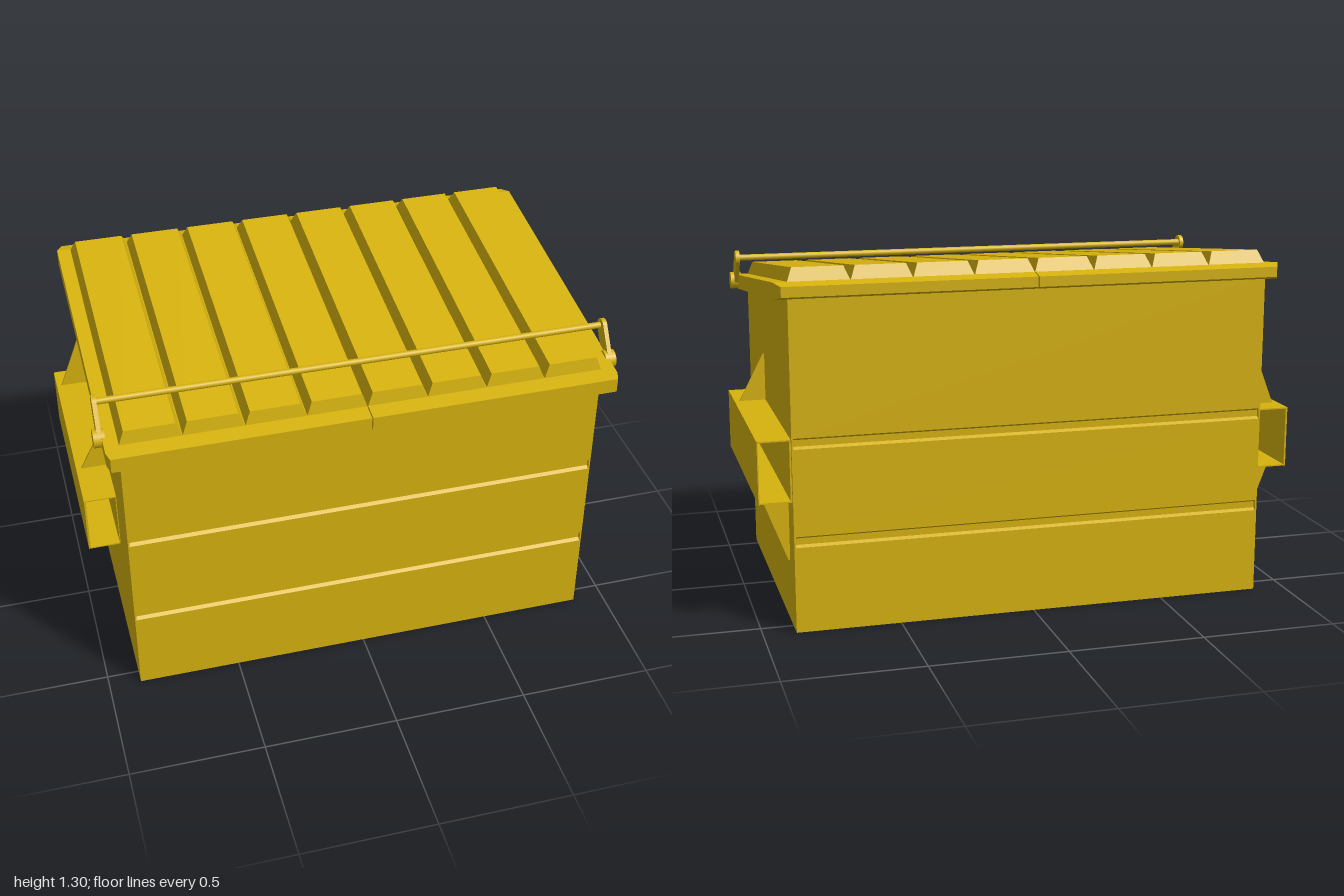
import * as THREE from 'three';

const material = new THREE.MeshStandardMaterial({ color: 0xd6b20e, flatShading: true });
const smooth = new THREE.MeshStandardMaterial({ color: 0xd6b20e });

function add(group, name, geometry, mat = material) {
  const mesh = new THREE.Mesh(geometry, mat);
  mesh.name = name;
  group.add(mesh);
  return mesh;
}

// Closed solid through loops of points, each counter-clockwise about the loft direction
function loft(loops) {
  const pos = [];
  const quad = (a, b, c, d) => pos.push(...a, ...b, ...c, ...a, ...c, ...d);
  for (let k = 0; k < loops.length - 1; k++) {
    const a = loops[k], b = loops[k + 1];
    for (let i = 0; i < 4; i++) {
      const j = (i + 1) % 4;
      quad(a[i], a[j], b[j], b[i]);
    }
  }
  quad(...[...loops[0]].reverse());
  quad(...loops[loops.length - 1]);
  const g = new THREE.BufferGeometry();
  g.setAttribute('position', new THREE.Float32BufferAttribute(pos, 3));
  g.computeVertexNormals();
  return g;
}

// Side profile given as (z, y), extruded to a width in x and centred on x
function sideExtrude(shape, width, x = 0) {
  const g = new THREE.ExtrudeGeometry(shape, { depth: width, bevelEnabled: false, curveSegments: 12 });
  return g.translate(0, 0, -width / 2).rotateY(-Math.PI / 2).translate(x, 0, 0);
}

const shapeOf = (pts) => new THREE.Shape(pts.map(([a, b]) => new THREE.Vector2(a, b)));

const FRONT = 0.555, BACK = -0.575;
const lidTop = (z) => 1.12 + (0.62 - z) * 0.118;

function buildBody(group) {
  // Grooves pressed into the front and back walls
  const groove = (z, inward, y) => [
    [z, y - 0.02], [z + inward, y - 0.012], [z + inward, y + 0.012], [z, y + 0.02],
  ];
  const front = [0.335, 0.692].flatMap((y) => groove(FRONT, -0.013, y));
  const back = [0.335, 0.692].flatMap((y) => groove(BACK, 0.013, y)).reverse();
  const profile = [[BACK, 0], [FRONT, 0], ...front, [FRONT, 1.08], [BACK, 1.21], ...back];
  add(group, 'body', sideExtrude(shapeOf(profile), 1.752));
  // Plain side walls close the groove ends
  const wall = shapeOf([[BACK, 0], [FRONT, 0], [FRONT, 1.08], [BACK, 1.21]]);
  for (const s of [-1, 1]) add(group, 'sideWall', sideExtrude(wall, 0.006, s * 0.878));
}

function buildLid(group) {
  // Two lid halves: [z, bottom, top, half width], from back to front
  const stations = [
    [-0.617, 1.213, 1.25, 0.908],
    [-0.57, 1.199, 1.26, 0.93],
    [0.585, 1.069, 1.124, 0.93],
    [0.619, 1.065, 1.12, 0.919],
  ];
  for (const s of [-1, 1]) {
    add(group, 'lidHalf', loft(stations.map(([z, bottom, top, w]) => {
      const x0 = s > 0 ? 0.002 : -w, x1 = s > 0 ? w : -0.002;
      return [[x0, bottom, z], [x1, bottom, z], [x1, top, z], [x0, top, z]];
    })));
  }
  // Eight raised panels with V-shaped valleys between them
  const rect = (x, hw, z0, z1, rise) => [
    [x - hw, lidTop(z1) + rise, z1], [x + hw, lidTop(z1) + rise, z1],
    [x + hw, lidTop(z0) + rise, z0], [x - hw, lidTop(z0) + rise, z0],
  ];
  for (let i = 0; i < 8; i++) {
    const x = -0.77 + i * 0.22;
    add(group, 'lidPanel', loft([
      rect(x, 0.11, -0.567, 0.556, -0.004),
      rect(x, 0.09, -0.541, 0.546, 0.048),
    ]));
  }
}

function buildLidBar(group) {
  const pivot = [0.48, 1.115], end = [0.409, 1.213], r = 0.029;
  const a = Math.atan2(end[1] - pivot[1], end[0] - pivot[0]);
  const arm = new THREE.Shape();
  arm.absarc(...pivot, r, a + Math.PI / 2, a + Math.PI * 1.5);
  arm.absarc(...end, r, a - Math.PI / 2, a + Math.PI / 2);
  for (const s of [-1, 1]) {
    add(group, 'barArm', sideExtrude(arm, 0.016, s * 0.936));
    const pin = add(group, 'pivotPin', new THREE.CylinderGeometry(0.033, 0.033, 0.04, 24), smooth);
    pin.rotation.z = Math.PI / 2;
    pin.position.set(s * 0.938, pivot[1], pivot[0]);
  }
  const bar = add(group, 'lidBar', new THREE.CylinderGeometry(0.012, 0.012, 1.87, 16), smooth);
  bar.rotation.z = Math.PI / 2;
  bar.position.set(0, 1.215, 0.403);
}

function buildForkPocket(group, s) {
  const pocket = new THREE.Group();
  pocket.name = s > 0 ? 'leftForkPocket' : 'rightForkPocket';
  group.add(pocket);
  // Thin-walled tube open at both ends
  const box = (x0, y0, x1, y1) => [[x0, y0], [x1, y0], [x1, y1], [x0, y1]];
  const tube = shapeOf(box(0.88, 0.478, 1, 0.705));
  tube.holes.push(shapeOf(box(0.887, 0.483, 0.996, 0.7)));
  const g = new THREE.ExtrudeGeometry(tube, { depth: 0.86, bevelEnabled: false });
  g.translate(s > 0 ? 0 : -1.88, 0, -0.56); // tube is nearly symmetric, so slide it across
  add(pocket, 'pocketTube', g);
  // Triangular gussets: [z, base height, tip height]
  const gussets = [[0.098, 0.705, 0.885], [0.102, 0.479, 0.315], [-0.456, 0.479, 0.235]];
  if (s < 0) gussets.push([-0.464, 0.705, 0.945]);
  for (const [z, base, tip] of gussets) {
    const tri = shapeOf([[s * 0.88, base], [s * 0.98, base], [s * 0.887, tip], [s * 0.88, tip]]);
    const plate = new THREE.ExtrudeGeometry(tri, { depth: 0.007, bevelEnabled: false });
    add(pocket, 'gusset', plate.translate(0, 0, z - 0.0035));
  }
}

export function createModel() {
  const group = new THREE.Group();
  group.name = 'wasteContainer';
  buildBody(group);
  buildLid(group);
  buildLidBar(group);
  for (const s of [-1, 1]) buildForkPocket(group, s);
  return group;
}
